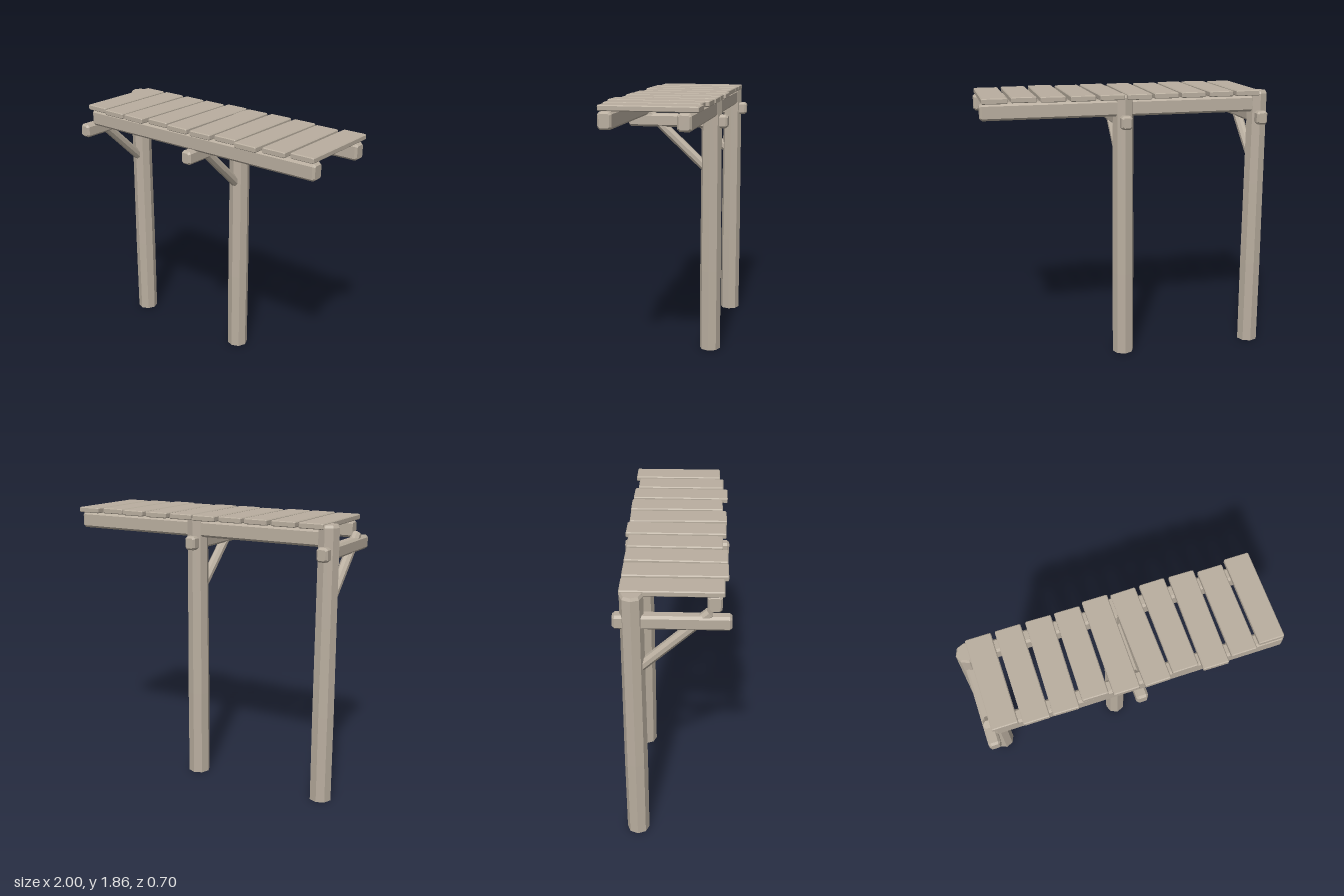
import * as THREE from 'three';

const wood = new THREE.MeshStandardMaterial({ color: 0xb9ae9f, flatShading: true, side: THREE.DoubleSide });
wood.name = 'weatheredWood';

// Timber running along z, centred, with every edge chamfered by c
function timber(width, height, length, c) {
  const x = width / 2, y = height / 2;
  const shape = new THREE.Shape([
    [x - c, -y], [x, -y + c], [x, y - c], [x - c, y],
    [-x + c, y], [-x, y - c], [-x, -y + c], [-x + c, -y],
  ].map(([a, b]) => new THREE.Vector2(a, b)));
  const geo = new THREE.ExtrudeGeometry(shape, {
    depth: length - 2 * c, bevelEnabled: true, bevelSegments: 1,
    bevelThickness: c, bevelSize: c * 0.8, bevelOffset: -c * 0.8,
  });
  return geo.translate(0, 0, c - length / 2);
}

export function createModel() {
  const group = new THREE.Group();
  const add = (name, geo, x, y, z) => {
    const mesh = new THREE.Mesh(geo, wood);
    mesh.name = name;
    mesh.position.set(x, y, z);
    group.add(mesh);
    return mesh;
  };

  // Eight-sided posts, open below, with a chamfered top
  const postGeo = new THREE.LatheGeometry([
    [0.075, 0], [0.076, 0.6], [0.073, 1.2], [0.071, 1.835], [0.06, 1.853], [0, 1.853],
  ].map(([r, y]) => new THREE.Vector2(r, y)), 8);

  // Each frame: post, cross beam and diagonal brace
  const crossGeo = timber(0.077, 0.092, 0.705, 0.015);
  const foot = new THREE.Vector3(0, 1.34, -0.2);
  const head = new THREE.Vector3(0, 1.735, 0.225);
  const axis = head.clone().sub(foot);
  const braceGeo = new THREE.CylinderGeometry(0.034, 0.034, axis.length(), 8);
  braceGeo.rotateY(Math.PI / 8);
  [['right', -0.925], ['middle', 0.036]].forEach(([side, x]) => {
    add(side + 'Post', postGeo, x, 0, -0.235);
    add(side + 'CrossBeam', crossGeo, x - 0.002, 1.673, 0.002);
    const mid = foot.clone().add(head).multiplyScalar(0.5);
    const brace = add(side + 'Brace', braceGeo, x - 0.002, mid.y, mid.z);
    brace.quaternion.setFromUnitVectors(new THREE.Vector3(0, 1, 0), axis.clone().normalize());
  });

  // Long beams under the deck
  const beamGeo = timber(0.09, 0.11, 1.895, 0.015).rotateY(Math.PI / 2);
  add('frontBeam', beamGeo, 0.047, 1.766, 0.252);
  add('backBeam', beamGeo, 0.047, 1.766, -0.238);

  // Deck planks: back edge z, front edge z, slight turn
  [
    [-0.31, 0.31, 0], [-0.31, 0.335, 0], [-0.31, 0.335, -0.02], [-0.31, 0.305, -0.012],
    [-0.33, 0.33, -0.005], [-0.32, 0.335, 0.018], [-0.325, 0.31, 0.005], [-0.32, 0.348, -0.012],
    [-0.298, 0.32, 0], [-0.325, 0.297, 0],
  ].forEach(([back, front, turn], i) => {
    const plank = add('plank' + (i + 1), timber(0.168, 0.037, front - back, 0.006),
      -0.831 + i * 0.1925, 1.843, (front + back) / 2);
    plank.rotation.y = turn;
  });

  return group;
}
